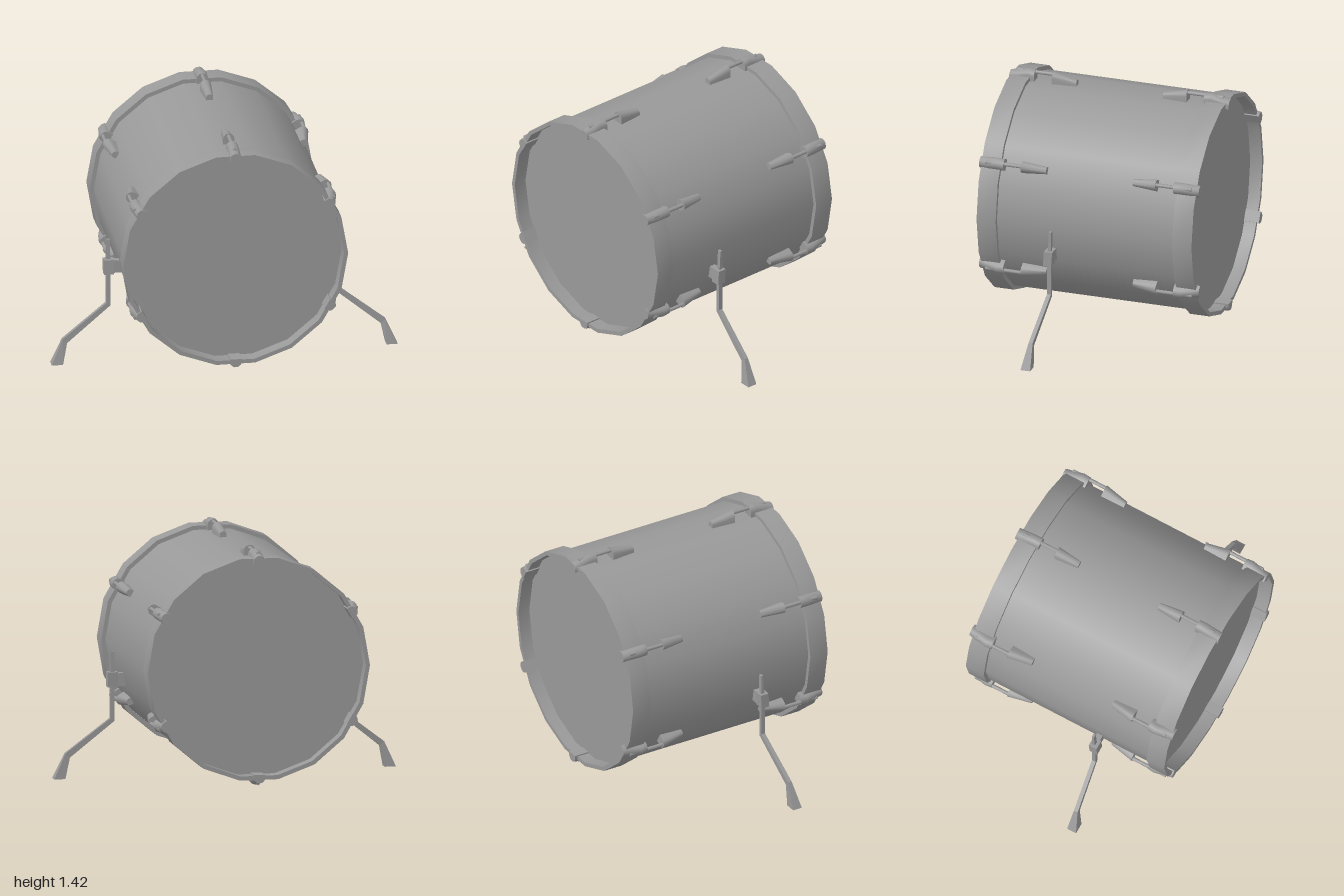
import * as THREE from 'three';
import { toCreasedNormals } from 'three/addons/utils/BufferGeometryUtils.js';

const SIDES = 18, CENTRE_Y = 0.74, START = Math.PI / SIDES;
const darkGrey = new THREE.MeshStandardMaterial({ color: 0x999999 });

function add(parent, name, geometry) {
  const mesh = new THREE.Mesh(geometry, darkGrey);
  mesh.name = name;
  parent.add(mesh);
  return mesh;
}

// Skin a list of equal-length rings of [x, y, z] points and cap both ends.
function loft(rings, crease = 0.7) {
  const pos = [];
  const tri = (...pts) => pts.forEach(p => pos.push(...p));
  const n = rings[0].length;
  for (let r = 0; r < rings.length - 1; r++) {
    for (let i = 0; i < n; i++) {
      const j = (i + 1) % n, a = rings[r], b = rings[r + 1];
      tri(a[i], a[j], b[j]);
      tri(a[i], b[j], b[i]);
    }
  }
  const first = rings[0], last = rings[rings.length - 1];
  for (let i = 1; i < n - 1; i++) {
    tri(first[0], first[i + 1], first[i]);
    tri(last[0], last[i], last[i + 1]);
  }
  const g = new THREE.BufferGeometry();
  g.setAttribute('position', new THREE.Float32BufferAttribute(pos, 3));
  g.computeVertexNormals();
  return toCreasedNormals(g, crease);
}

// Flat-bottomed, round-topped section of width w, from radius r0 to r1.
function domeRing(z, w, r0, r1) {
  const ring = [[-w / 2, r0, z], [w / 2, r0, z]];
  const rise = w * 0.45;
  for (let i = 0; i <= 6; i++) {
    const a = Math.PI * i / 6;
    ring.push([Math.cos(a) * w / 2, r1 - rise + Math.sin(a) * rise, z]);
  }
  return ring;
}

// Four-cornered leg section between a left and right edge point.
function legRing(xl, yl, xr, yr, z, h) {
  return [[xr, yr, z + h], [xr, yr, z - h], [xl, yl, z - h], [xl, yl, z + h]];
}

// Square-edged ring around the drum axis.
function hoop(z0, z1) {
  const ro = 0.65, ri = 0.626;
  const profile = [[ro, z0], [ro, z1], [ri, z1], [ri, z0], [ro, z0]]
    .map(p => new THREE.Vector2(...p));
  const g = new THREE.LatheGeometry(profile, SIDES, START);
  return toCreasedNormals(g.rotateX(Math.PI / 2), 0.6);
}

// Lug, tension rod and claw on the +z end, pointing outward along +y.
function createTensioner() {
  const group = new THREE.Group();
  group.name = 'tensioner';
  add(group, 'lug', loft([
    domeRing(0.26, 0.04, 0.61, 0.65),
    domeRing(0.405, 0.064, 0.61, 0.681)
  ]));
  const rod = new THREE.CylinderGeometry(0.011, 0.011, 0.23, 8).rotateX(Math.PI / 2);
  add(group, 'tensionRod', rod).position.set(0, 0.664, 0.505);
  // The claw straddles the hoop, showing a lip on its inner wall
  add(group, 'claw', loft([
    domeRing(0.51, 0.066, 0.609, 0.678),
    domeRing(0.55, 0.066, 0.609, 0.682),
    domeRing(0.615, 0.066, 0.609, 0.667),
    domeRing(0.66, 0.066, 0.609, 0.658)
  ]));
  return group;
}

// Left leg with bracket, bent rod and flared foot.
function createLeg() {
  const leg = new THREE.Group();
  leg.name = 'leg';
  const ankle = legRing(0.907, 0.122, 0.933, 0.147, 0.23, 0.012);
  add(leg, 'legRod', loft([
    ankle,
    legRing(0.653, 0.328, 0.676, 0.344, 0.206, 0.012),
    legRing(0.653, 0.53, 0.676, 0.53, 0.206, 0.012),
    legRing(0.653, 0.73, 0.676, 0.73, 0.2, 0.007)
  ], 0.1));
  add(leg, 'foot', loft([legRing(0.935, 0, 1, 0, 0.24, 0.029), ankle], 0.1));
  add(leg, 'legClamp', loft([
    legRing(0.634, 0.525, 0.692, 0.525, 0.212, 0.025),
    legRing(0.634, 0.612, 0.692, 0.612, 0.207, 0.025)
  ], 0.1));
  const mount = new THREE.BoxGeometry(0.06, 0.075, 0.036);
  add(leg, 'legMount', mount).position.set(0.615, 0.567, 0.205);
  return leg;
}

export function createModel() {
  const model = new THREE.Group();
  model.name = 'bassDrum';

  const drum = new THREE.Group();
  drum.name = 'drum';
  drum.position.y = CENTRE_Y;
  model.add(drum);

  // Shell, closed by a recessed head at each end
  const shell = new THREE.CylinderGeometry(0.625, 0.625, 1.14, SIDES, 1, true, START);
  add(drum, 'shell', shell.rotateX(Math.PI / 2));
  for (const end of [1, -1]) {
    const head = new THREE.CircleGeometry(0.63, SIDES, START + Math.PI / 2);
    if (end < 0) head.rotateY(Math.PI);
    add(drum, end > 0 ? 'frontHead' : 'backHead', head).position.z = 0.57 * end;
  }

  // Hoops
  add(drum, 'frontHoop', hoop(0.535, 0.65));
  add(drum, 'backHoop', hoop(-0.642, -0.525));

  // Six tensioners on each end
  for (const end of [1, -1]) {
    for (let i = 0; i < 6; i++) {
      const t = createTensioner();
      t.rotation.z = i * Math.PI / 3;
      t.scale.z = end;
      drum.add(t);
    }
  }

  // Mirrored pair of legs
  for (const side of [1, -1]) {
    const leg = createLeg();
    leg.name = side > 0 ? 'leftLeg' : 'rightLeg';
    leg.scale.x = side;
    model.add(leg);
  }
  return model;
}
